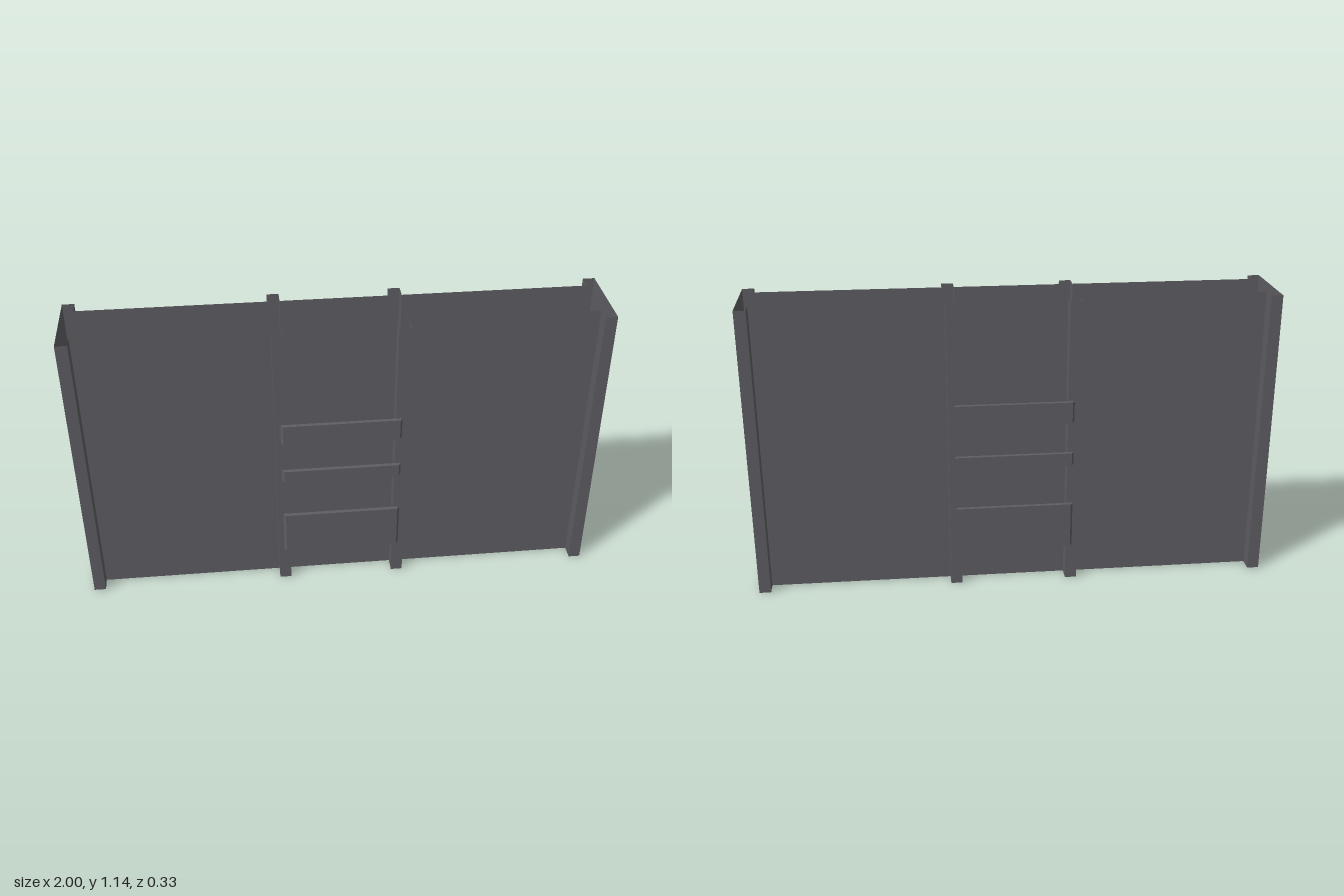
import * as THREE from 'three';

const HEIGHT = 1.14, DEPTH = 0.15, RECESS = 0.095;

export function createModel() {
  const model = new THREE.Group();
  model.name = 'hollowWallShell';
  const grey = new THREE.MeshStandardMaterial({ color: 0x5e5d62, side: THREE.DoubleSide });
  grey.name = 'dark grey';

  // One upright sheet between two points of the ground plan
  function sheet(name, [x0, z0], [x1, z1]) {
    const dx = x1 - x0, dz = z1 - z0;
    const mesh = new THREE.Mesh(new THREE.PlaneGeometry(Math.hypot(dx, dz), HEIGHT), grey);
    mesh.name = name;
    mesh.position.set((x0 + x1) / 2, HEIGHT / 2, (z0 + z1) / 2);
    mesh.rotation.y = Math.atan2(-dz, dx);
    return mesh;
  }

  // Tapered plate, its plan extruded upward; plan points are (x, -z)
  function plate(name, plan, bottom, top) {
    const shape = new THREE.Shape(plan.map(([x, z]) => new THREE.Vector2(x, -z)));
    const geometry = new THREE.ExtrudeGeometry(shape, { depth: top - bottom, bevelEnabled: false });
    geometry.rotateX(-Math.PI / 2);
    const mesh = new THREE.Mesh(geometry, grey);
    mesh.name = name;
    mesh.position.y = bottom;
    return mesh;
  }

  // Corrugated face: ribs stand forward, panels are set back
  const ribs = [[-1, -0.955], [-0.25, -0.205], [0.205, 0.25], [0.955, 1]];
  for (const side of [1, -1]) {
    const face = new THREE.Group();
    face.name = side > 0 ? 'frontFace' : 'backFace';
    ribs.forEach(([a, b], i) => {
      face.add(sheet('rib', [a, DEPTH], [b, DEPTH]));
      if (i > 0) face.add(sheet('ribSide', [a, RECESS], [a, DEPTH]));
      if (i < 3) {
        face.add(sheet('ribSide', [b, DEPTH], [b, RECESS]));
        face.add(sheet('panel', [b, RECESS], [ribs[i + 1][0], RECESS]));
      }
    });
    if (side < 0) face.rotation.y = Math.PI;
    model.add(face);
  }

  // Flat end walls
  model.add(sheet('leftEndWall', [1, DEPTH], [1, -DEPTH]));
  model.add(sheet('rightEndWall', [-1, -DEPTH], [-1, DEPTH]));

  // Cross plates bridging the two middle ribs
  const frontPlan = [[-0.229, 0.15], [-0.22, 0.165], [0.22, 0.165], [0.229, 0.15]];
  const backPlan = [[-0.229, -0.15], [0.22, -0.15], [0.229, -0.165], [-0.22, -0.165]];
  for (const [bottom, top] of [[0.15, 0.33], [0.495, 0.545], [0.67, 0.753]]) {
    model.add(plate('frontCrossPlate', frontPlan, bottom, top));
    model.add(plate('backCrossPlate', backPlan, bottom, top));
  }
  return model;
}
